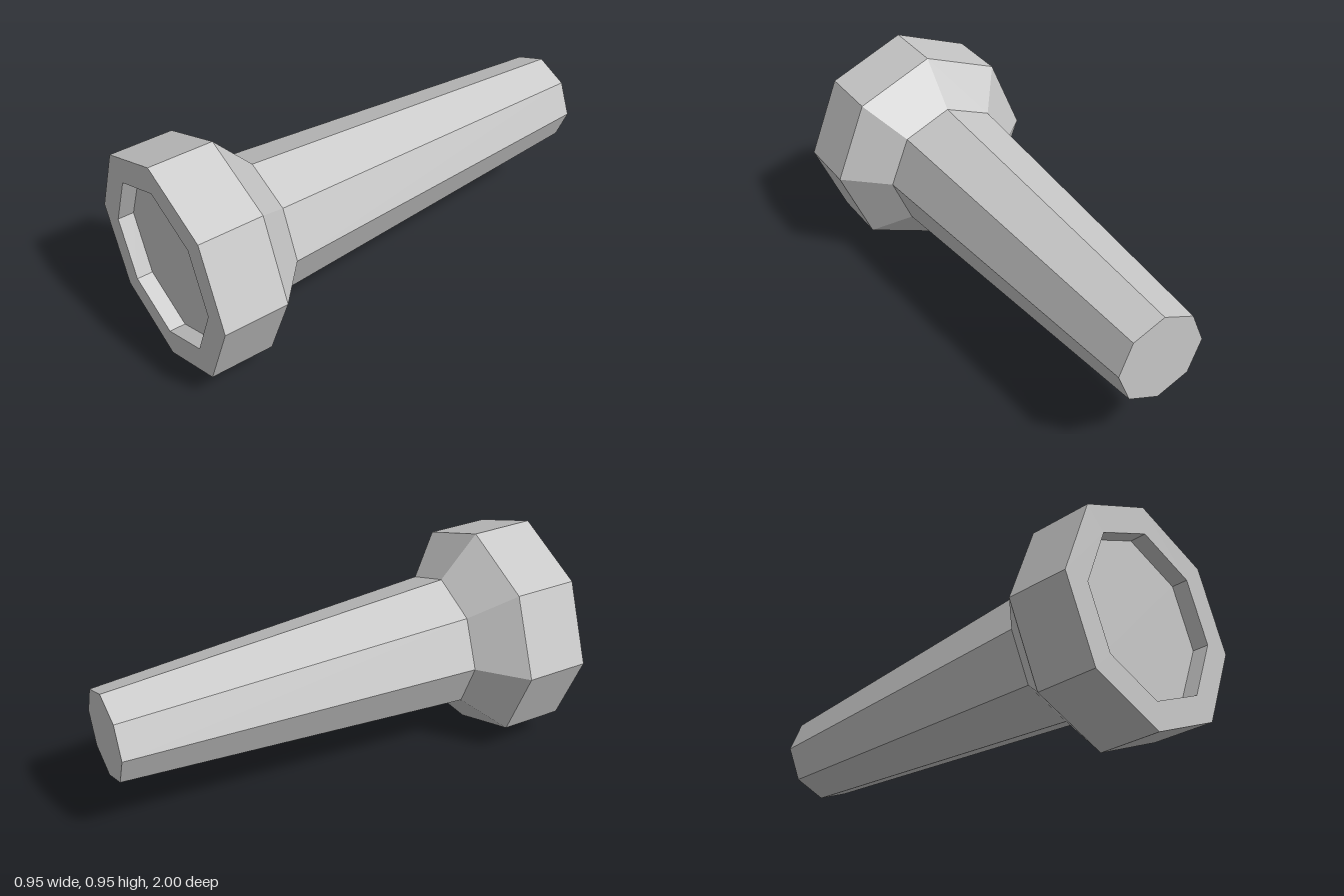
import * as THREE from 'three';

const SIDES = 8;
const CENTRE_Y = 0.478;

export function createModel() {
  const metal = new THREE.MeshStandardMaterial({ color: 0xc8c8c8, flatShading: true });
  metal.name = 'greyMetal';

  const group = new THREE.Group();
  group.name = 'torch';

  // Eight-sided part turned about the z axis; profile runs [radius, z] from back to front
  const turned = (name, profile) => {
    const points = profile.map(([r, z]) => new THREE.Vector2(r, z));
    const geometry = new THREE.LatheGeometry(points, SIDES);
    geometry.rotateX(Math.PI / 2);
    const mesh = new THREE.Mesh(geometry, metal);
    mesh.name = name;
    mesh.position.y = CENTRE_Y;
    group.add(mesh);
  };

  // Tapered grip with a closed back end
  turned('handle', [[0, -1], [0.197, -1], [0.296, 0.56]]);

  // Flared collar, wide head and front rim with its inner wall
  turned('head', [[0.296, 0.56], [0.477, 0.725], [0.477, 1], [0.356, 1], [0.356, 0.93]]);

  // Recessed flat front
  turned('lens', [[0.356, 0.93], [0, 0.93]]);

  return group;
}
